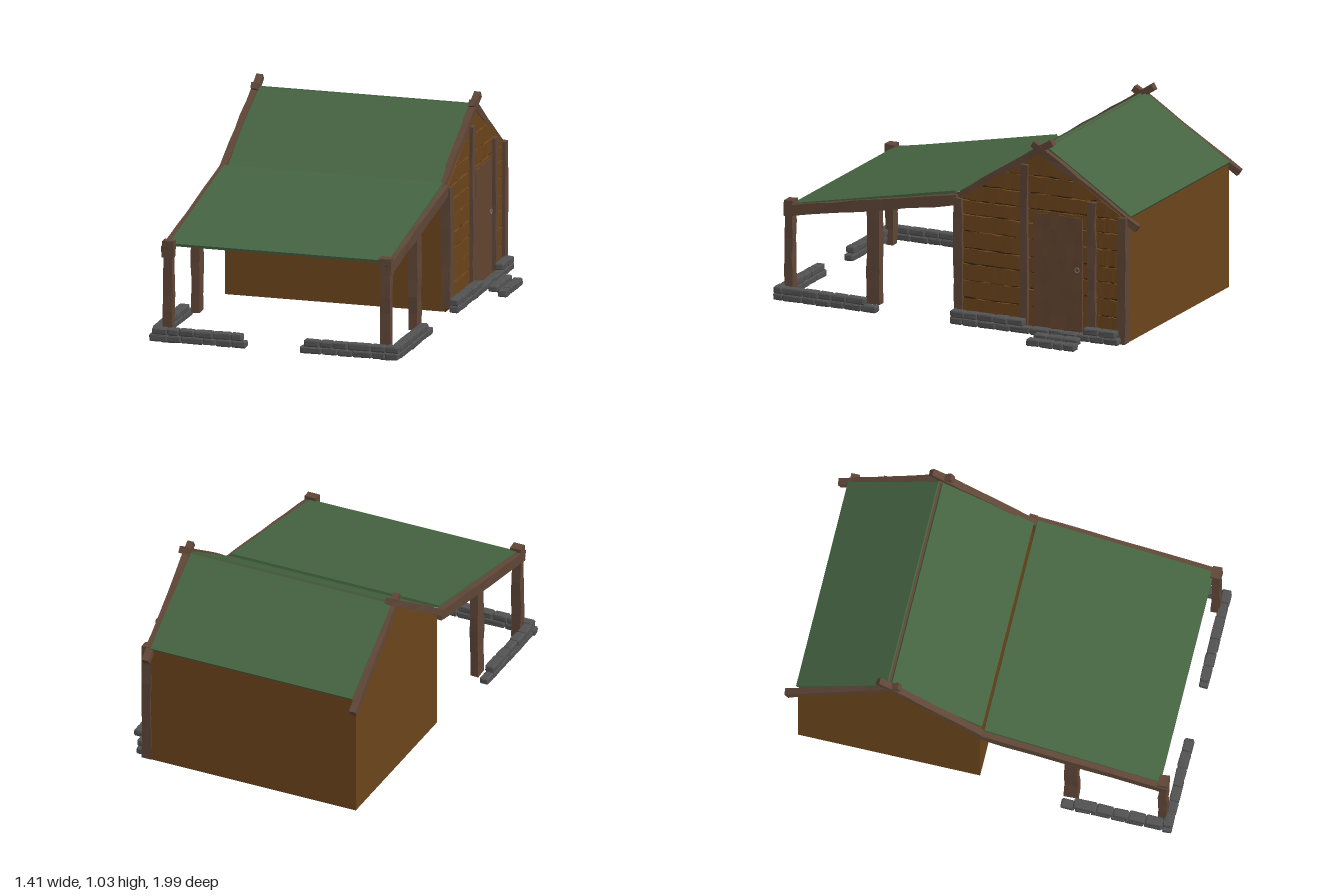
import * as THREE from 'three';
import { RoundedBoxGeometry } from 'three/addons/geometries/RoundedBoxGeometry.js';

let seed = 7;
const rand = () => (seed = (seed * 16807) % 2147483647) / 2147483647;

const mat = (color, opts = {}) => new THREE.MeshStandardMaterial({ color, flatShading: true, ...opts });
const WALL = mat(0x6b441b), SEAM = mat(0x3a2511), WOOD = mat(0x5f4637), DOOR = mat(0x634530);
const ROOF = mat(0x456341), STONE = mat(0x525252), METAL = mat(0x77706a);

// House profile: z of the front and back walls and the ridge, with heights
const Z0 = 0, Z1 = -0.93, ZR = -0.467, BASE = 0.03, EAVE = 0.665, RIDGE = 0.965;
const X0 = -0.622, X1 = 0.525;
const roofY = z => RIDGE - (RIDGE - EAVE) * Math.abs(z - ZR) / (Z0 - ZR);

// Shift corners a little, keeping corners at the same place together
function roughen(geo, amount) {
  const p = geo.attributes.position, moved = new Map();
  for (let i = 0; i < p.count; i++) {
    const key = [p.getX(i), p.getY(i), p.getZ(i)].map(v => v.toFixed(4)).join();
    if (!moved.has(key)) moved.set(key, amount.map(a => (rand() - 0.5) * 2 * a));
    const [dx, dy, dz] = moved.get(key);
    p.setXYZ(i, p.getX(i) + dx, p.getY(i) + dy, p.getZ(i) + dz);
  }
  geo.computeVertexNormals();
  return geo;
}

function add(parent, name, geo, material, x = 0, y = 0, z = 0) {
  const mesh = new THREE.Mesh(geo, material);
  mesh.name = name;
  mesh.position.set(x, y, z);
  parent.add(mesh);
  return mesh;
}

// Upright rough-hewn post between two heights
function post(parent, name, x, z, y0, y1, w, d) {
  const geo = roughen(new THREE.BoxGeometry(w, y1 - y0, d, 1, 6, 1), [0.003, 0, 0.004]);
  return add(parent, name, geo, WOOD, x, (y0 + y1) / 2, z);
}

// Rough beam running from point a to point b
function beam(parent, name, a, b, w, h) {
  const from = new THREE.Vector3(...a), to = new THREE.Vector3(...b);
  const geo = roughen(new THREE.BoxGeometry(w, h, from.distanceTo(to), 1, 1, 7), [0.002, 0.003, 0]);
  const mesh = add(parent, name, geo, WOOD);
  mesh.position.copy(from).add(to).multiplyScalar(0.5);
  mesh.lookAt(to);
  return mesh;
}

// Thin roof sheet between a high and a low edge, given as [z, y]
function roofSheet(parent, name, x0, x1, [za, ya], [zb, yb]) {
  const len = Math.hypot(za - zb, ya - yb);
  const mesh = add(parent, name, new THREE.BoxGeometry(x1 - x0, 0.014, len), ROOF,
    (x0 + x1) / 2, (ya + yb) / 2, (za + zb) / 2);
  mesh.rotation.x = Math.atan2(ya - yb, zb - za);
  if (zb < za) mesh.rotation.x = -Math.atan2(ya - yb, za - zb);
}

// One course of stones along x or z, with uneven lengths
function stoneRow(parent, axis, from, to, fixed, y, width = 0.05, height = 0.035, size = 0.085) {
  const n = Math.max(1, Math.round((to - from) / size));
  const parts = Array.from({ length: n }, () => 0.7 + rand() * 0.6);
  const sum = parts.reduce((a, b) => a + b);
  let at = from;
  for (const part of parts) {
    const len = (to - from) * part / sum, w = width * (0.9 + rand() * 0.15);
    const dims = axis === 'x' ? [len - 0.002, height, w] : [w, height, len - 0.002];
    const geo = roughen(new RoundedBoxGeometry(...dims, 1, 0.008), [0.0015, 0.0015, 0.0015]);
    const mid = at + len / 2;
    add(parent, 'stone', geo, STONE, axis === 'x' ? mid : fixed, y, axis === 'x' ? fixed : mid);
    at += len;
  }
}

// Gable-shaped slab with its profile across z, spanning x0 to x1
function gable(parent, name, x0, x1, material) {
  const shape = new THREE.Shape([[-Z0, BASE], [-Z1, BASE], [-Z1, EAVE], [-ZR, RIDGE], [-Z0, EAVE]]
    .map(p => new THREE.Vector2(...p)));
  const geo = new THREE.ExtrudeGeometry(shape, { depth: x1 - x0, bevelEnabled: false });
  geo.rotateY(Math.PI / 2);
  return add(parent, name, geo, material, x0);
}

export function createModel() {
  const model = new THREE.Group();
  const group = name => {
    const g = new THREE.Group();
    g.name = name;
    model.add(g);
    return g;
  };

  // House body, with a dark backing behind the plank seams
  const house = group('house');
  gable(house, 'walls', X0, X1, WALL);
  gable(house, 'plankSeams', X1 - 0.001, X1 + 0.002, SEAM);

  // Planks on the door side, cut off along the roof slope
  const planks = group('planks');
  const rows = [0.04, 0.16, 0.25, 0.335, 0.415, 0.505, 0.59, 0.665, 0.745, 0.835, 0.96];
  for (const [za, zb] of [[0, -0.375], [-0.375, -0.747], [-0.747, -0.925]]) {
    for (let i = 0; i < rows.length - 1; i++) {
      if (rows[i] > Math.max(roofY(za), roofY(zb)) - 0.01) continue;
      const h = rows[i + 1] - rows[i] - 0.008, yc = (rows[i] + rows[i + 1]) / 2, zc = (za + zb) / 2;
      const geo = roughen(new THREE.BoxGeometry(0.014, h, za - zb, 1, 1, 10), [0.001, 0.004, 0]);
      const p = geo.attributes.position;
      for (let k = 0; k < p.count; k++) p.setY(k, Math.min(p.getY(k), roofY(p.getZ(k) + zc) - yc));
      geo.computeVertexNormals();
      add(planks, 'plank', geo, WALL, X1 + 0.006, yc, zc);
    }
  }

  // Posts framing the door side
  const frame = group('houseFrame');
  post(frame, 'cornerPost', 0.53, -0.008, 0.05, 0.67, 0.05, 0.045);
  post(frame, 'wallPost', 0.54, -0.375, 0.06, 0.89, 0.032, 0.04);
  post(frame, 'wallPost', 0.54, -0.747, 0.06, 0.74, 0.032, 0.045);
  post(frame, 'cornerPost', 0.53, -0.913, 0.03, 0.68, 0.05, 0.045);

  // Door with ring handle
  const door = group('door');
  add(door, 'doorPanel', roughen(new THREE.BoxGeometry(0.02, 0.585, 0.27, 1, 8, 6), [0.001, 0.005, 0.003]),
    DOOR, 0.537, 0.355, -0.56);
  const ring = add(door, 'doorHandle', new THREE.TorusGeometry(0.012, 0.003, 6, 14), METAL, 0.551, 0.38, -0.668);
  ring.rotation.y = Math.PI / 2;

  // Roof sheets
  const roof = group('roof');
  roofSheet(roof, 'houseRoofFront', -0.605, 0.503, [-0.462, 0.975], [0.002, 0.688]);
  roofSheet(roof, 'houseRoofBack', -0.605, 0.503, [-0.478, 0.975], [-0.94, 0.675]);
  roofSheet(roof, 'porchRoof', -0.622, 0.52, [0.02, 0.692], [0.92, 0.514]);
  add(roof, 'ridgeBeam', new THREE.BoxGeometry(1.13, 0.03, 0.03), WOOD, -0.05, 0.957, -0.469);

  // Crossed gable beams and porch beams on both sides
  const beams = group('beams');
  for (const [top, low, porch] of [[-0.604, -0.632, -0.634], [0.53, 0.509, 0.529]]) {
    beam(beams, 'gableBeamFront', [low, 0.663, 0.02], [top, 1.018, -0.525], 0.034, 0.034);
    beam(beams, 'gableBeamBack', [low, 0.625, -0.985], [top, 1.0, -0.415], 0.034, 0.034);
    beam(beams, 'porchBeam', [porch, 0.658, 0], [porch, 0.483, 0.955], 0.032, 0.055);
  }

  // Porch posts, with a block at the head of each front post
  const porch = group('porch');
  for (const x of [-0.618, 0.515]) {
    post(porch, 'frontPost', x, 0.935, 0.02, 0.5, 0.05, 0.042);
    post(porch, 'middlePost', x, 0.468, 0.06, 0.57, 0.045, 0.07);
    add(porch, 'postHead', roughen(new THREE.BoxGeometry(0.06, 0.085, 0.048), [0.003, 0.003, 0.002]),
      WOOD, x, 0.497, 0.935);
  }

  // Low stone walls in two courses
  const stones = group('stoneWalls');
  const LOW = 0.048, HIGH = 0.083;
  stoneRow(stones, 'x', -0.705, -0.2, 0.97, LOW);
  stoneRow(stones, 'x', -0.69, -0.22, 0.97, HIGH);
  stoneRow(stones, 'x', 0.08, 0.595, 0.97, LOW);
  stoneRow(stones, 'x', 0.1, 0.595, 0.97, HIGH);
  for (const x of [-0.675, 0.573]) {
    stoneRow(stones, 'z', 0.425, 0.945, x, LOW);
    stoneRow(stones, 'z', 0.49, 0.945, x, HIGH);
  }
  stoneRow(stones, 'z', -0.915, 0.018, 0.573, LOW);
  stoneRow(stones, 'z', -0.39, 0.015, 0.573, HIGH);
  stoneRow(stones, 'z', -0.9, -0.72, 0.573, HIGH);

  // Stone steps at the door
  const steps = group('steps');
  stoneRow(steps, 'z', -0.715, -0.47, 0.622, 0.036, 0.05, 0.034);
  stoneRow(steps, 'z', -0.725, -0.455, 0.675, 0.02, 0.05, 0.036, 0.07);

  return model;
}
